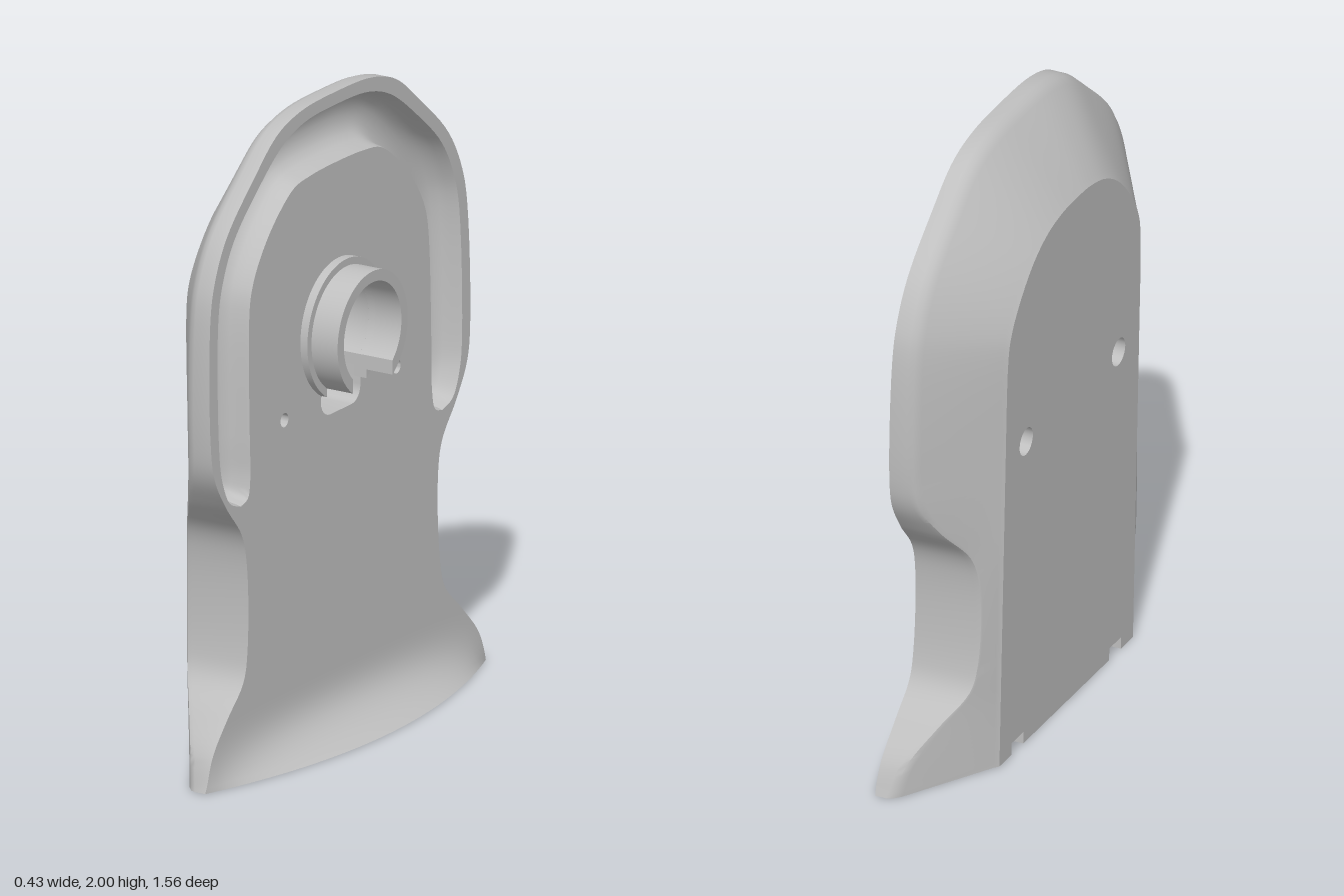
import * as THREE from 'three';
import { toCreasedNormals } from 'three/addons/utils/BufferGeometryUtils.js';

const grey = new THREE.MeshStandardMaterial({ color: 0xbfbfbf, side: THREE.DoubleSide });
grey.name = 'grey plastic';

// x of the mounting face, including the flared lip at the foot
const frontX = (y, z) => {
  const u = Math.min(1, y / 0.22);
  return 0.068 - 0.0165 * y + 0.145 * Math.max(0, 1 - (z / 0.78) ** 2) * (1 - u) ** 3.5;
};
const backX = (y) => -0.185 - 0.02 * y;

// Smooth symmetric arch through half a list of [z, y] points
function arch(half, n) {
  const mirrored = half.slice(0, -1).reverse().map(([z, y]) => [-z, y]);
  const pts = [...half, ...mirrored].map(([z, y]) => new THREE.Vector3(z, y, 0));
  const curve = new THREE.CatmullRomCurve3(pts, false, 'centripetal');
  return curve.getPoints(n).map((p) => [p.x, Math.max(0, p.y)]);
}

// Surface through rows of [x, y, z] points
function loft(rows, closed = false) {
  const n = rows[0].length;
  const index = [];
  for (let r = 0; r < rows.length - 1; r++) {
    for (let i = 0; i < (closed ? n : n - 1); i++) {
      const j = (i + 1) % n;
      const a = r * n + i, b = r * n + j, c = a + n, d = b + n;
      index.push(a, c, b, b, c, d);
    }
  }
  const g = new THREE.BufferGeometry();
  g.setAttribute('position', new THREE.Float32BufferAttribute(rows.flat(2), 3));
  g.setIndex(index);
  return toCreasedNormals(g, 0.6);
}

// Flat face from 2D loops, with each corner placed by a rule
function face(outline, holes, place) {
  const v = (l) => l.map(([a, b]) => new THREE.Vector2(a, b));
  const shape = new THREE.Shape(v(outline));
  shape.holes = holes.map((h) => new THREE.Path(v(h)));
  const g = new THREE.ShapeGeometry(shape);
  const p = g.attributes.position;
  for (let i = 0; i < p.count; i++) p.setXYZ(i, ...place(p.getX(i), p.getY(i)));
  g.computeVertexNormals();
  return g;
}

const circle = (z, y, r, n = 24) => Array.from({ length: n }, (_, i) => {
  const a = (i / n) * Math.PI * 2;
  return [z + r * Math.cos(a), y + r * Math.sin(a)];
});

export function createModel() {
  const group = new THREE.Group();
  const add = (name, geometry) => {
    const m = new THREE.Mesh(geometry, grey);
    m.name = name;
    group.add(m);
  };

  // Outer outline and the matching, smaller outline of the back panel
  const N = 192;
  const outer = arch([[0.78, 0], [0.74, 0.1], [0.65, 0.2], [0.56, 0.29], [0.535, 0.38],
    [0.53, 0.64], [0.555, 0.75], [0.64, 0.86], [0.7, 0.96], [0.72, 1.06], [0.715, 1.45],
    [0.69, 1.57], [0.62, 1.7], [0.46, 1.85], [0.33, 1.95], [0.2, 1.99], [0, 2]], N);
  const back = arch([[0.465, 0], [0.465, 0.1], [0.465, 0.2], [0.465, 0.29], [0.465, 0.38],
    [0.465, 0.64], [0.465, 0.75], [0.465, 0.86], [0.465, 0.96], [0.465, 1.06], [0.46, 1.4],
    [0.445, 1.47], [0.4, 1.55], [0.3, 1.66], [0.2, 1.72], [0.1, 1.745], [0, 1.75]], N);
  const panel = back.map(([z, y]) => [z * 0.97, y - 0.03 * Math.max(0, y - 1.2)]);

  // Sides: rim, rounded bend, long bevel, small fillet to the back panel
  const rimX = ([z, y]) => (y > 1.06 ? -0.03 : -0.2 + ((Math.abs(z) - 0.47) / 0.25) * 0.17);
  const bevel = (t) => outer.map((o, i) => {
    const b = back[i], x = rimX(o);
    return [x + (backX(b[1]) + 0.012 - x) * t, o[1] + (b[1] - o[1]) * t, o[0] + (b[0] - o[0]) * t];
  });
  const rings = [
    outer.map(([z, y]) => [frontX(y, z), y, z]),
    outer.map((o) => [rimX(o) + 0.02, o[1], o[0]]),
    outer.map((o, i) => {
      const b = back[i], k = 0.025;
      return [rimX(o) + 0.002, o[1] + (b[1] - o[1]) * k, o[0] + (b[0] - o[0]) * k];
    }),
    bevel(0.1),
    bevel(1),
    panel.map(([z, y]) => [backX(y), y, z]),
  ];
  add('sides', loft(rings));

  // U-shaped channel in the mounting face, closing round at both arm ends
  const gOut = [[0.56, 0.845], [0.62, 0.87], [0.66, 0.95], [0.675, 1.05], [0.67, 1.45],
    [0.645, 1.56], [0.58, 1.68], [0.44, 1.81], [0.3, 1.91], [0.18, 1.95], [0, 1.96]];
  const gIn = [[0.56, 0.845], [0.52, 0.86], [0.505, 0.92], [0.505, 1.05], [0.495, 1.45],
    [0.47, 1.53], [0.41, 1.62], [0.33, 1.7], [0.24, 1.76], [0.15, 1.775], [0, 1.78]];
  const gMid = gOut.map(([z, y], i) => (i < 2 ? [0.58, 0.925 + i * 0.005]
    : [(z + gIn[i][0]) / 2, (y + gIn[i][1]) / 2]));
  const M = 120;
  const around = (a, b) => [...a, ...b.slice(1, -1).reverse()];
  const mid = arch(gMid, M);
  const channel = around(arch(gOut, M), arch(gIn, M));
  const spine = around(mid, mid);
  const profile = [[0, 0], [0.05, 0.012], [0.1, 0.035], [0.2, 0.058], [0.4, 0.08], [0.7, 0.092], [1, 0.095]];
  add('channel', loft(profile.map(([s, d]) => channel.map(([z, y], i) => {
    const zz = z + (spine[i][0] - z) * s, yy = y + (spine[i][1] - y) * s;
    return [frontX(yy, zz) - d, yy, zz];
  })), true));

  // Keyhole: round socket running into a slot with rounded lower corners
  const cy = 1.26, slot = 0.11, keyhole = [];
  const gap = (r) => Math.asin(slot / r);
  const arc = (z, y, r, a0, a1, n) => {
    for (let i = 0; i <= n; i++) {
      const a = a0 + ((a1 - a0) * i) / n;
      keyhole.push([z + r * Math.cos(a), y + r * Math.sin(a)]);
    }
  };
  const g0 = gap(0.16), down = -Math.PI / 2;
  arc(0, cy, 0.16, down + g0, down + 2 * Math.PI - g0, 40);
  arc(-slot + 0.05, 1.05, 0.05, Math.PI, Math.PI * 1.5, 6);
  arc(slot - 0.05, 1.05, 0.05, down, 0, 6);
  const floorX = -0.06;
  add('keyholeWall', loft([keyhole.map(([z, y]) => [frontX(y, z), y, z]),
    keyhole.map(([z, y]) => [floorX, y, z])], true));
  add('keyholeFloor', face(keyhole, [], (a, y) => [floorX, y, -a]));

  // Open collar and its flange
  const openRing = (name, r, x0, x1) => {
    const s = new THREE.Shape();
    s.absarc(0, cy, r, down + gap(r), down + 2 * Math.PI - gap(r), false);
    s.absarc(0, cy, 0.16, down - g0, down + g0, true);
    const g = new THREE.ExtrudeGeometry(s, { depth: x1 - x0, bevelEnabled: false, curveSegments: 40 });
    g.rotateY(Math.PI / 2).translate(x0, 0, 0);
    add(name, toCreasedNormals(g, 0.6));
  };
  openRing('flange', 0.218, 0.03, 0.072);
  openRing('collar', 0.195, 0.03, 0.165);

  // Counterbored screw holes
  const sides = [-1, 1];
  for (const s of sides) {
    const ring = (r, x) => circle(s * 0.312, 1.05, r).map(([z, y]) => [x ?? backX(y), y, z]);
    add('screwHole', loft([circle(s * 0.312, 1.05, 0.022).map(([z, y]) => [frontX(y, z), y, z]),
      ring(0.022, -0.03), ring(0.045, -0.03), ring(0.045)], true));
  }

  // Mounting face above, flared lip below
  const k = outer.findIndex(([, y]) => y > 0.23);
  add('mountingFace', face(outer.slice(k, N + 1 - k),
    [channel, keyhole, ...sides.map((s) => circle(s * 0.312, 1.05, 0.022))],
    (a, y) => [frontX(y, 0), y, -a]));
  const lipRow = ([w, y]) => Array.from({ length: 41 }, (_, i) => {
    const z = w * (1 - i / 20);
    return [frontX(y, z), y, z];
  });
  const lip = outer.slice(0, k + 1).map(lipRow);
  add('flaredLip', loft(lip));

  // Back panel with two notches at its foot
  const n0 = 0.29, n1 = 0.37, nh = 0.04, nx = backX(0) + 0.07;
  const notched = (edge, deep) => [[-n1, edge], [-n1, deep], [-n0, deep], [-n0, edge],
    [n0, edge], [n0, deep], [n1, deep], [n1, edge]];
  add('backPanel', face([...panel, ...notched(0, nh)],
    sides.map((s) => circle(s * 0.312, 1.05, 0.045)), (z, y) => [backX(y), y, z]));
  for (const s of sides) {
    const u = [[n0, backX(0)], [n0, nx], [n1, nx], [n1, backX(0)]];
    add('notch', loft([0, nh].map((y) => u.map(([z, x]) => [x, y, s * z]))));
    add('notchRoof', face(u, [], (z, x) => [x, nh, s * z]));
  }

  // Underside with a shallow rectangular pocket
  const pocket = [[-0.24, -0.1], [0.24, -0.1], [0.24, 0], [-0.24, 0]];
  const under = [
    ...lip[0].map(([x, , z]) => [z, x]),
    ...rings.slice(1).map((r) => [r[N][2], r[N][0]]),
    ...notched(backX(0), nx),
    ...rings.slice(1).reverse().map((r) => [r[0][2], r[0][0]]),
  ];
  add('underside', face(under, [pocket], (a, x) => [x, 0, -a]));
  add('pocketWall', loft([0, 0.06].map((y) => pocket.map(([z, x]) => [x, y, z])), true));
  add('pocketRoof', face(pocket, [], (a, x) => [x, 0.06, -a]));

  return group;
}
